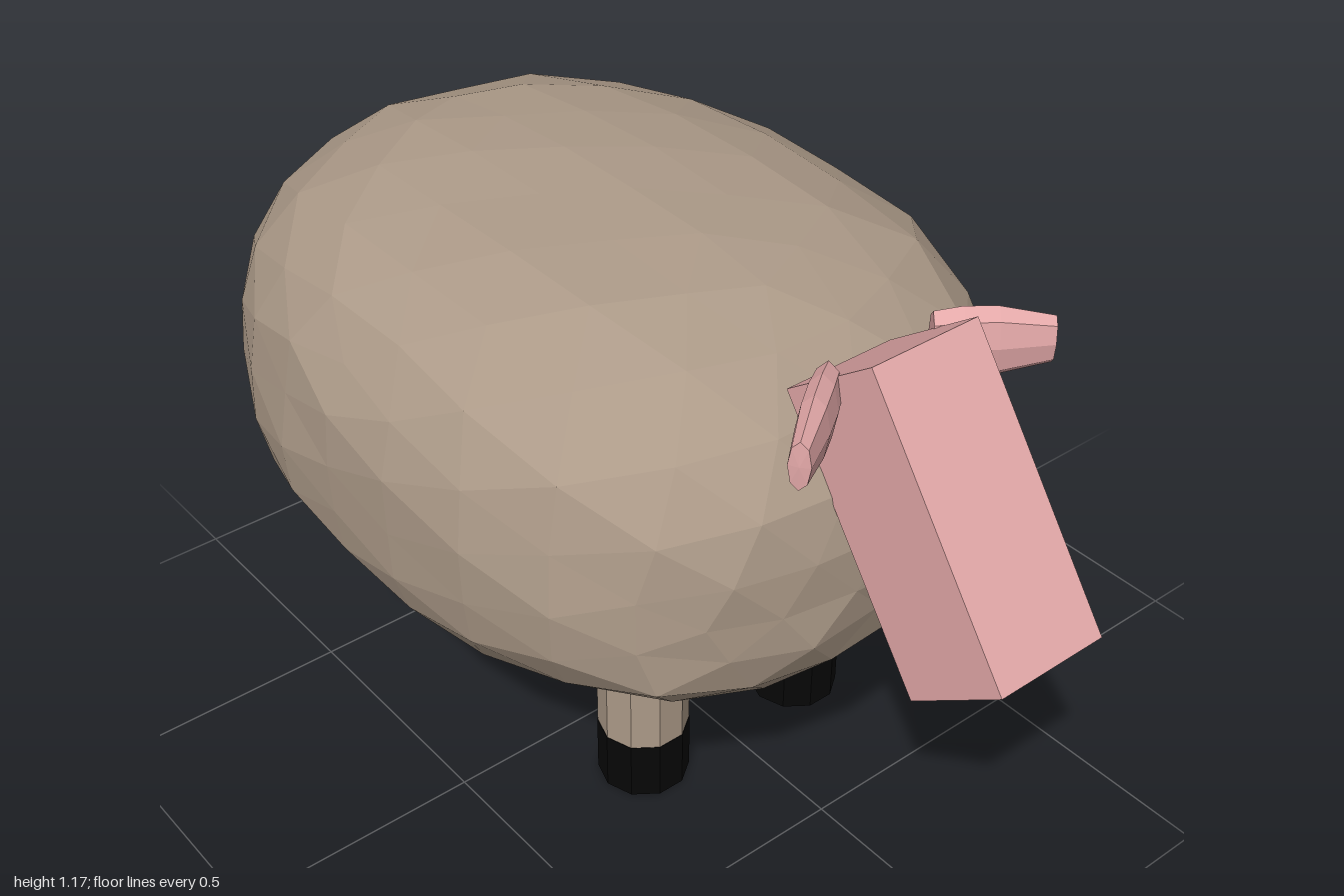
import * as THREE from 'three';

const wool = new THREE.MeshStandardMaterial({ name: 'wool', color: 0xac9a88, flatShading: true });
const skin = new THREE.MeshStandardMaterial({ name: 'pinkSkin', color: 0xe4a9a9, flatShading: true });
const hoofBlack = new THREE.MeshStandardMaterial({ name: 'hoofBlack', color: 0x070707, flatShading: true });

function part(name, geometry, material, parent) {
  const mesh = new THREE.Mesh(geometry, material);
  mesh.name = name;
  parent.add(mesh);
  return mesh;
}

// Faceted sphere squared off into a plump barrel: fuller at the shoulders and
// back, rounder at the rump and belly, with soft lumps and two shallow dents
function fleeceGeometry() {
  const geo = new THREE.IcosahedronGeometry(1, 4);
  const pos = geo.attributes.position;
  const v = new THREE.Vector3();
  const dents = [new THREE.Vector3(0.15, 0.8, -0.55), new THREE.Vector3(-0.1, 0.85, 0.45)].map(d => d.normalize());
  for (let i = 0; i < pos.count; i++) {
    v.fromBufferAttribute(pos, i);
    const plan = 2.3 + 0.25 * v.x;
    const rise = 2.6 + 0.25 * v.y;
    const flat = (Math.abs(v.x) ** plan + Math.abs(v.z) ** plan) ** (1 / plan);
    const norm = (flat ** rise + Math.abs(v.y) ** rise) ** (1 / rise);
    let size = 1 + 0.01 * Math.sin(7 * v.x + 3 * v.z + 1) * Math.sin(6 * v.y - 4 * v.z) +
      0.012 * Math.sin(13 * v.z + 5 * v.x) * Math.cos(11 * v.y + 9 * v.x);
    for (const d of dents) size -= 0.03 * Math.exp(-v.distanceToSquared(d) / 0.04);
    v.multiplyScalar(size / norm);
    pos.setXYZ(i, v.x * 0.817, v.y * (v.y > 0 ? 0.45 : 0.397), v.z * 0.625);
  }
  geo.computeVertexNormals();
  return geo;
}

export function createModel() {
  const model = new THREE.Group();
  model.name = 'sheep';

  part('fleece', fleeceGeometry(), wool, model).position.set(-0.183, 0.675, 0);

  // Four legs with dark hooves
  const legGeo = new THREE.CylinderGeometry(0.09, 0.09, 0.4, 10);
  const hoofGeo = new THREE.CylinderGeometry(0.091, 0.091, 0.125, 10);
  for (const [end, x] of [['front', 0.182], ['back', -0.575]]) {
    for (const [side, z] of [['Near', 0.19], ['Far', -0.21]]) {
      const leg = new THREE.Group();
      leg.name = `${end}${side}Leg`;
      leg.position.set(x, 0, z);
      part('shin', legGeo, wool, leg).position.y = 0.325;
      part('hoof', hoofGeo, hoofBlack, leg).position.y = 0.0625;
      model.add(leg);
    }
  }

  // Slanted block head
  const head = part('head', new THREE.BoxGeometry(0.234, 0.562, 0.235), skin, model);
  head.position.set(0.737, 0.874, 0.002);
  head.rotation.z = 0.635;

  // Flattened, blunt-tipped ears swept forward and outward
  const profile = [[0, 0], [0.062, 0], [0.07, 0.05], [0.068, 0.11], [0.046, 0.207], [0, 0.21]]
    .map(([r, h]) => new THREE.Vector2(r, h));
  const earGeo = new THREE.LatheGeometry(profile, 8);
  const up = new THREE.Vector3(0, 1, 0);
  for (const s of [1, -1]) {
    const along = new THREE.Vector3(0.58, 0, 0.81 * s).normalize();
    const across = new THREE.Vector3().crossVectors(up, along);
    const ear = part(s > 0 ? 'nearEar' : 'farEar', earGeo, skin, model);
    ear.quaternion.setFromRotationMatrix(new THREE.Matrix4().makeBasis(up, along, across));
    ear.scale.z = 0.42;
    ear.position.set(0.567, 1.07, 0.117 * s);
  }
  return model;
}
